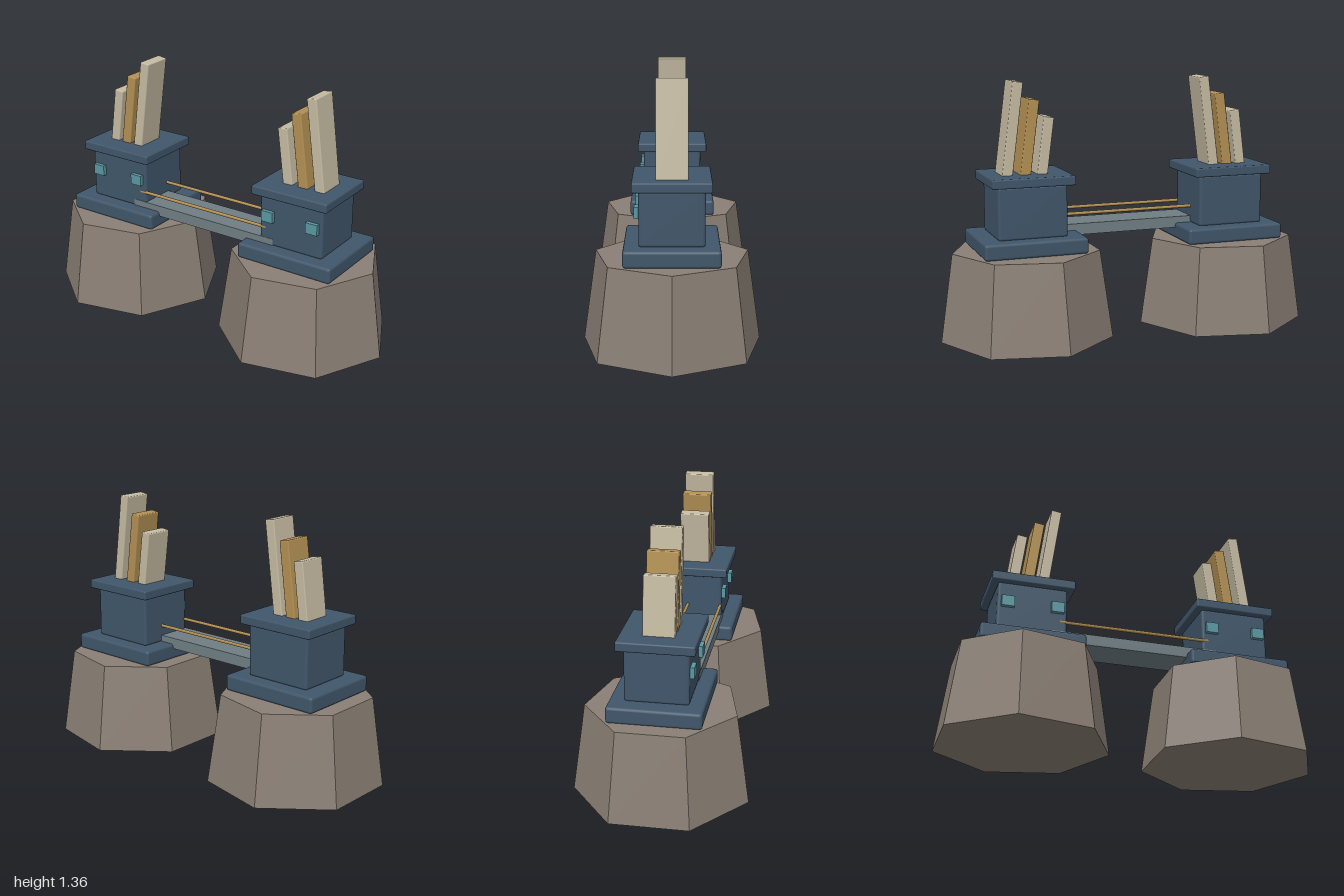
import * as THREE from 'three';
import { RoundedBoxGeometry } from 'three/addons/geometries/RoundedBoxGeometry.js';

const material = (name, color) => {
  const m = new THREE.MeshStandardMaterial({ color });
  m.name = name;
  return m;
};

export function createModel() {
  const rock = material('rock', 0x8a7f75);
  rock.flatShading = true;
  const blue = material('slate blue', 0x40566a);
  const glass = material('teal glass', 0x5a98a3);
  const cream = material('cream', 0xc5bba2);
  const ochre = material('ochre', 0xb39053);
  const deck = material('grey deck', 0x6f7e83);

  const model = new THREE.Group();
  model.name = 'twinTowerBridge';

  const add = (parent, name, geometry, mat, x, y, z) => {
    const mesh = new THREE.Mesh(geometry, mat);
    mesh.name = name;
    mesh.position.set(x, y, z);
    parent.add(mesh);
    return mesh;
  };
  const block = (w, h, d, r) => new RoundedBoxGeometry(w, h, d, 2, r);

  // One tower on its rock; lean is the sideways tilt of the fins
  function tower(name, x, lean, finFeet) {
    const g = new THREE.Group();
    g.name = name;
    g.position.x = x;
    model.add(g);

    // Seven-sided tapering rock with a corner pointing to +x
    add(g, 'rockPedestal',
      new THREE.CylinderGeometry(0.395, 0.463, 0.47, 7, 1, false, Math.PI / 2), rock, 0, 0.235, 0);

    add(g, 'plinth', block(0.55, 0.085, 0.475, 0.015), blue, 0, 0.5125, 0);
    add(g, 'body', block(0.37, 0.28, 0.324, 0.015), blue, 0, 0.69, 0);
    add(g, 'roofSlab', block(0.44, 0.05, 0.39, 0.008), blue, 0, 0.851, 0);

    // Windows on the front wall
    for (const wx of [-0.131, 0.131]) {
      add(g, 'window', new THREE.BoxGeometry(0.068, 0.058, 0.03), glass, wx, 0.717, 0.169);
    }

    // Three leaning fins, sunk slightly into the roof
    const tops = [1.17, 1.262, 1.355];
    tops.forEach((top, i) => {
      const sunk = 0.03;
      const length = (top - 0.876) / Math.cos(lean) + sunk;
      const fin = new THREE.Group();
      fin.name = 'fin' + (i + 1);
      fin.position.set(finFeet[i], 0.876, 0);
      fin.rotation.z = lean;
      g.add(fin);
      add(fin, 'finBlade', block(0.056, length, 0.16, 0.006),
        i === 1 ? ochre : cream, 0, length / 2 - sunk, 0);
    });
  }
  tower('rightTower', -0.583, -0.13, [-0.092, -0.013, 0.068]);
  tower('leftTower', 0.532, 0.13, [-0.075, 0.015, 0.112]);

  // Bridge deck between the towers
  add(model, 'bridgeDeck', new THREE.BoxGeometry(0.907, 0.06, 0.2), deck, -0.027, 0.56, 0.064);

  // Handrails along both edges of the deck
  for (const z of [-0.029, 0.155]) {
    const rail = add(model, 'handrail',
      new THREE.CylinderGeometry(0.009, 0.009, 0.82, 8), ochre, -0.027, 0.645, z);
    rail.rotation.z = Math.PI / 2;
  }

  return model;
}
